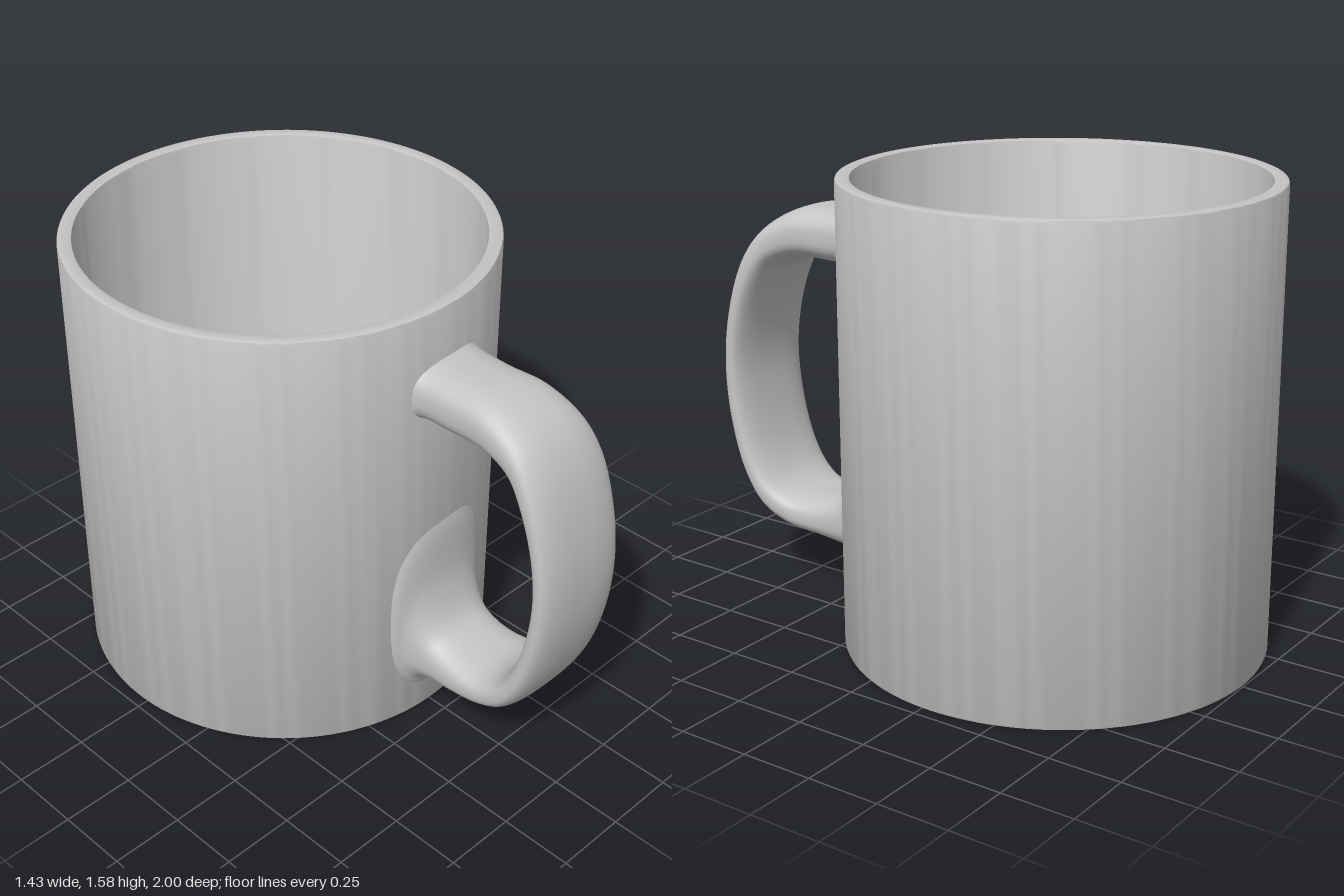
import * as THREE from 'three';
import { toCreasedNormals } from 'three/addons/utils/BufferGeometryUtils.js';

const R = 0.715, H = 1.58, CZ = -0.285;

// Handle stations: outer z, y | inner z, y | min x, max x
const STATIONS = [
  [0.395, 1.42, 0.395, 1.16, -0.16, 0.24],
  [0.43, 1.395, 0.43, 1.195, -0.12, 0.2],
  [0.55, 1.39, 0.55, 1.2, -0.11, 0.185],
  [0.7, 1.38, 0.7, 1.2, -0.115, 0.2],
  [0.83, 1.31, 0.79, 1.165, -0.12, 0.22],
  [0.91, 1.2, 0.84, 1.09, -0.125, 0.235],
  [0.975, 1.0, 0.89, 0.95, -0.125, 0.24],
  [1.0, 0.8, 0.91, 0.8, -0.125, 0.24],
  [0.985, 0.6, 0.89, 0.62, -0.125, 0.24],
  [0.925, 0.4, 0.845, 0.47, -0.125, 0.24],
  [0.84, 0.275, 0.79, 0.385, -0.125, 0.235],
  [0.73, 0.215, 0.72, 0.345, -0.12, 0.22],
  [0.6, 0.19, 0.62, 0.348, -0.12, 0.2],
  [0.5, 0.17, 0.52, 0.39, -0.12, 0.2],
  [0.45, 0.135, 0.46, 0.52, -0.14, 0.22],
  [0.425, 0.09, 0.433, 0.75, -0.18, 0.27],
  [0.395, 0.06, 0.395, 0.85, -0.2, 0.29],
];

// Sweeps a rounded-rectangle section between the outer and inner curves
function handleGeometry(rows = 128, cols = 48) {
  const outer = new THREE.CatmullRomCurve3(STATIONS.map((s) => new THREE.Vector3(s[4], s[1], s[0])));
  const inner = new THREE.CatmullRomCurve3(STATIONS.map((s) => new THREE.Vector3(s[5], s[3], s[2])));
  const power = (v) => Math.sign(v) * Math.pow(Math.abs(v), 2 / 2.7);
  const positions = [], index = [];
  for (let i = 0; i <= rows; i++) {
    const o = outer.getPoint(i / rows), n = inner.getPoint(i / rows);
    for (let j = 0; j < cols; j++) {
      const a = (j / cols) * Math.PI * 2;
      const c = power(Math.cos(a)), s = power(Math.sin(a));
      const x = (o.x + n.x) / 2 + ((n.x - o.x) / 2) * c;
      const y = (o.y + n.y) / 2 + ((o.y - n.y) / 2) * s;
      const z = (o.z + n.z) / 2 + ((o.z - n.z) / 2) * s;
      // Near the cup the section follows the curve of the wall
      const follow = THREE.MathUtils.clamp((0.55 - z) / 0.13, 0, 1);
      positions.push(x, y, z - follow * (R - Math.sqrt(R * R - x * x)));
      if (i < rows) {
        const p = i * cols + j, q = i * cols + ((j + 1) % cols);
        index.push(p, q, p + cols, q, q + cols, p + cols);
      }
    }
  }
  const g = new THREE.BufferGeometry();
  g.setAttribute('position', new THREE.Float32BufferAttribute(positions, 3));
  g.setIndex(index);
  g.computeVertexNormals();
  return g;
}

export function createModel() {
  const group = new THREE.Group();
  const ceramic = new THREE.MeshStandardMaterial({ color: 0xc4c4c4 });
  ceramic.name = 'grey ceramic';

  // Hollow cup with softened rim and foot
  const profile = [
    [0, 0], [R - 0.01, 0], [R - 0.003, 0.003], [R, 0.01],
    [R, H - 0.01], [R - 0.003, H - 0.003], [R - 0.01, H],
    [0.675, H], [0.668, H - 0.003], [0.665, H - 0.01],
    [0.665, 0.07], [0.662, 0.063], [0.655, 0.06], [0, 0.06],
  ].map(([r, y]) => new THREE.Vector2(r, y));
  const cup = new THREE.Mesh(toCreasedNormals(new THREE.LatheGeometry(profile, 128), 0.6), ceramic);
  cup.name = 'cup';
  cup.position.z = CZ;
  group.add(cup);

  // Handle
  const handle = new THREE.Mesh(handleGeometry(), ceramic);
  handle.name = 'handle';
  group.add(handle);
  return group;
}
